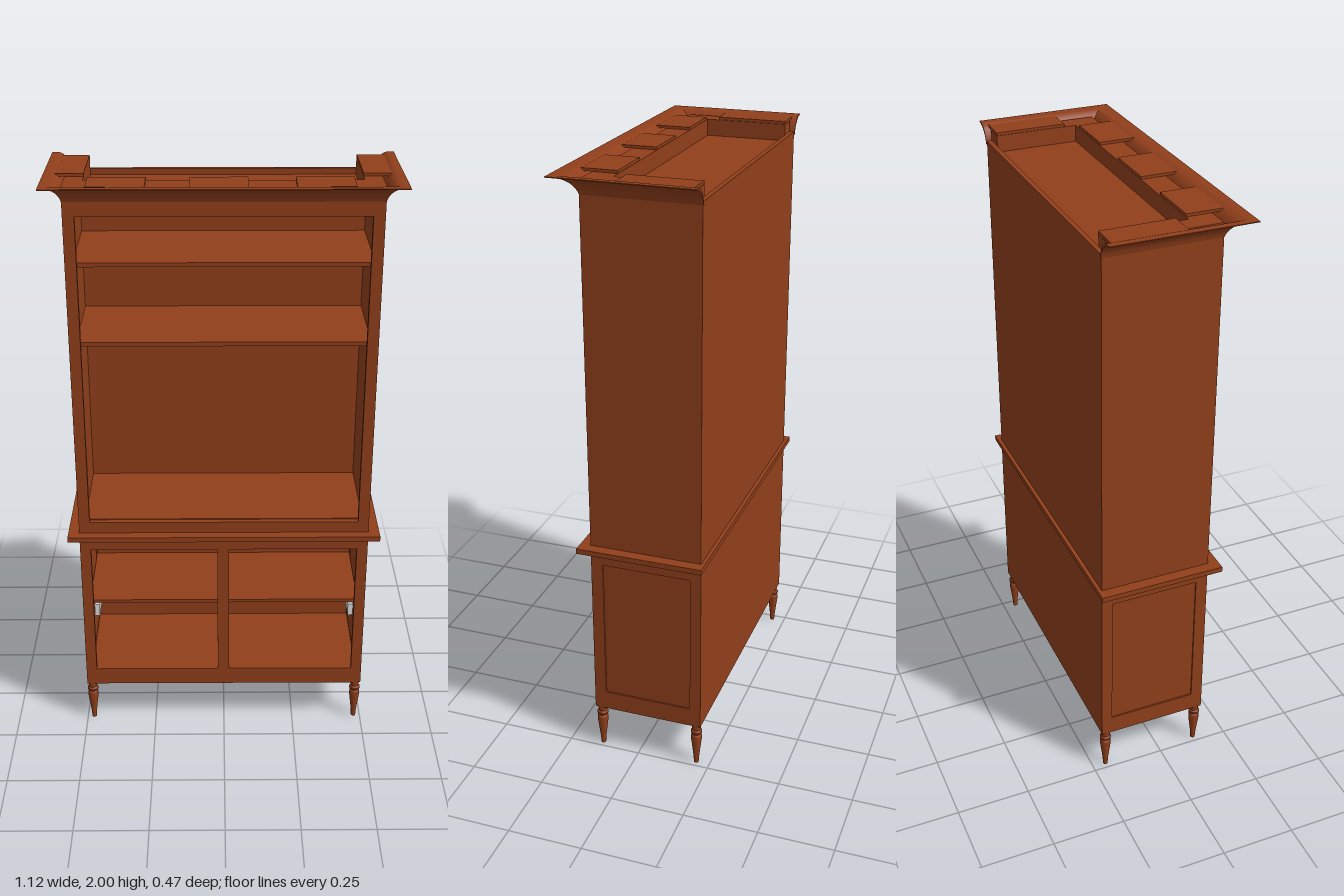
import * as THREE from 'three';
import { toCreasedNormals } from 'three/addons/utils/BufferGeometryUtils.js';

const wood = new THREE.MeshStandardMaterial({ color: 0x913f1b });
wood.name = 'reddish brown wood';
const metal = new THREE.MeshStandardMaterial({ color: 0xdcdcdc });
metal.name = 'pale metal';

const W = 0.495, FRONT = 0.155, BACK = -0.222, INNER_BACK = -0.206, BASE = 0.157;

// Box given by its lower and upper corners
function box(parent, name, x0, x1, y0, y1, z0, z1, material = wood) {
  const mesh = new THREE.Mesh(new THREE.BoxGeometry(x1 - x0, y1 - y0, z1 - z0), material);
  mesh.position.set((x0 + x1) / 2, (y0 + y1) / 2, (z0 + z1) / 2);
  mesh.name = name;
  parent.add(mesh);
}

// The same box on both sides of the cabinet
function pair(parent, name, x0, x1, ...rest) {
  box(parent, name + 'Left', x0, x1, ...rest);
  box(parent, name + 'Right', -x1, -x0, ...rest);
}

// Thin cove moulding swept around the front and the two sides, mitred at the corners
function crownGeometry() {
  const outer = [], inner = [];
  for (let i = 0; i <= 10; i++) {
    const s = i / 10, t = (s * Math.PI) / 2;
    const flare = 0.7 * (1 - Math.cos(t)) + 0.3 * s;
    outer.push(new THREE.Vector2(0.063 * flare, 1.94 + 0.057 * Math.sin(t)));
    inner.unshift(new THREE.Vector2(0.048 * flare - 0.002, 1.94 + 0.06 * Math.sin(t)));
  }
  const profile = [...outer, new THREE.Vector2(0.063, 2), ...inner];
  const stations = [[-1, 0], [-1, 1], [1, 1], [1, 0]];
  const n = profile.length, pos = [], index = [];
  for (const [sx, front] of stations) {
    for (const p of profile) {
      pos.push(sx * (W + p.x), p.y, front ? FRONT + p.x * 1.24 : BACK - 0.003);
    }
  }
  for (let s = 0; s < 3; s++) {
    for (let i = 0; i < n; i++) {
      const j = (i + 1) % n, a = s * n + i, b = s * n + j;
      index.push(a, a + n, b, b, a + n, b + n);
    }
  }
  // Closed ends at the back
  for (const [a, b, c] of THREE.ShapeUtils.triangulateShape(profile, [])) {
    index.push(a, b, c, 3 * n + a, 3 * n + c, 3 * n + b);
  }
  const geometry = new THREE.BufferGeometry();
  geometry.setAttribute('position', new THREE.Float32BufferAttribute(pos, 3));
  geometry.setIndex(index);
  return toCreasedNormals(geometry, 0.6);
}

function createLower() {
  const g = new THREE.Group();
  g.name = 'lowerCabinet';
  // Side walls: frames with slightly recessed panels
  pair(g, 'sideFrontStile', W - 0.022, W, BASE, 0.77, 0.115, 0.135);
  pair(g, 'sideBackStile', W - 0.022, W, BASE, 0.77, BACK, -0.185);
  pair(g, 'sideTopRail', W - 0.022, W, 0.718, 0.77, -0.185, 0.115);
  pair(g, 'sideBottomRail', W - 0.022, W, BASE, 0.223, -0.185, 0.115);
  pair(g, 'sidePanel', W - 0.02, W - 0.005, 0.223, 0.718, -0.185, 0.115);
  // Front frame with two openings
  pair(g, 'frontStile', 0.458, W, BASE, 0.77, 0.135, FRONT);
  box(g, 'frontTopRail', -0.458, 0.458, 0.718, 0.77, 0.135, FRONT);
  box(g, 'frontBottomRail', -0.458, 0.458, BASE, 0.221, 0.135, FRONT);
  box(g, 'centreStile', -0.022, 0.018, 0.221, 0.718, 0.135, FRONT);
  // Back, floor and shelf
  box(g, 'lowerBack', -0.473, 0.473, BASE, 0.77, BACK, INNER_BACK);
  box(g, 'lowerFloor', -0.473, 0.473, 0.205, 0.219, INNER_BACK, 0.135);
  box(g, 'lowerShelf', -0.473, 0.473, 0.48, 0.492, INNER_BACK, 0.12);
  // Metal runners under the shelf and under the floor
  pair(g, 'shelfRunner', 0.439, 0.457, 0.434, 0.48, -0.155, 0.133, metal);
  pair(g, 'floorRunner', 0.418, 0.44, 0.188, 0.206, -0.155, 0.133, metal);
  return g;
}

function createUpper() {
  const g = new THREE.Group();
  g.name = 'upperCabinet';
  pair(g, 'upperSide', W - 0.022, W, 0.785, 1.95, BACK, 0.135);
  pair(g, 'upperStile', 0.458, W, 0.785, 1.95, 0.135, FRONT);
  box(g, 'upperTopRail', -0.458, 0.458, 1.894, 1.95, 0.135, FRONT);
  box(g, 'upperBottomRail', -0.458, 0.458, 0.785, 0.825, 0.135, FRONT);
  box(g, 'upperBack', -0.473, 0.473, 0.785, 1.95, BACK, INNER_BACK);
  box(g, 'upperFloor', -0.473, 0.473, 0.813, 0.828, INNER_BACK, 0.135);
  for (const y of [1.46, 1.726]) box(g, 'upperShelf', -0.473, 0.473, y, y + 0.014, INNER_BACK, 0.132);
  // Sunken roof panel within a raised frame
  box(g, 'roofPanel', -0.473, 0.473, 1.894, 1.93, INNER_BACK, 0.135);
  pair(g, 'roofFrameSide', 0.435, W, 1.93, 1.985, INNER_BACK, 0.07);
  box(g, 'roofFrameFront', -W, W, 1.93, 1.985, 0.07, FRONT - 0.002);
  return g;
}

function createCrown() {
  const g = new THREE.Group();
  g.name = 'crown';
  const moulding = new THREE.Mesh(crownGeometry(), wood);
  moulding.name = 'crownMoulding';
  g.add(moulding);
  // Thin support blocks tying the moulding to the roof frame
  pair(g, 'sideBlock', 0.435, 0.524, 1.986, 1.995, INNER_BACK, 0.03);
  for (const x of [-0.42, -0.105, 0.222]) box(g, 'frontBlock', x, x + 0.18, 1.986, 1.995, 0.07, 0.187);
  return g;
}

// Turned tapering legs
function createLegs() {
  const g = new THREE.Group();
  g.name = 'legs';
  const profile = [
    [0, 0], [0.008, 0], [0.01, 0.03], [0.018, 0.095], [0.018, 0.112], [0.014, 0.118],
    [0.019, 0.124], [0.019, 0.13], [0.014, 0.136], [0.016, 0.16], [0.016, 0.2],
  ].map(([r, y]) => new THREE.Vector2(r, y));
  const geometry = toCreasedNormals(new THREE.LatheGeometry(profile, 20), 0.5);
  for (const x of [-0.477, 0.477]) {
    for (const z of [0.137, -0.203]) {
      const leg = new THREE.Mesh(geometry, wood);
      leg.name = (z > 0 ? 'front' : 'back') + 'Leg' + (x > 0 ? 'Left' : 'Right');
      leg.position.set(x, 0, z);
      g.add(leg);
    }
  }
  return g;
}

export function createModel() {
  const model = new THREE.Group();
  model.name = 'bookcaseCabinet';
  model.add(createLower(), createUpper(), createCrown(), createLegs());
  // Projecting ledge between the two cabinets
  box(model, 'waistLedge', -0.532, 0.532, 0.767, 0.785, -0.235, 0.19);
  return model;
}
